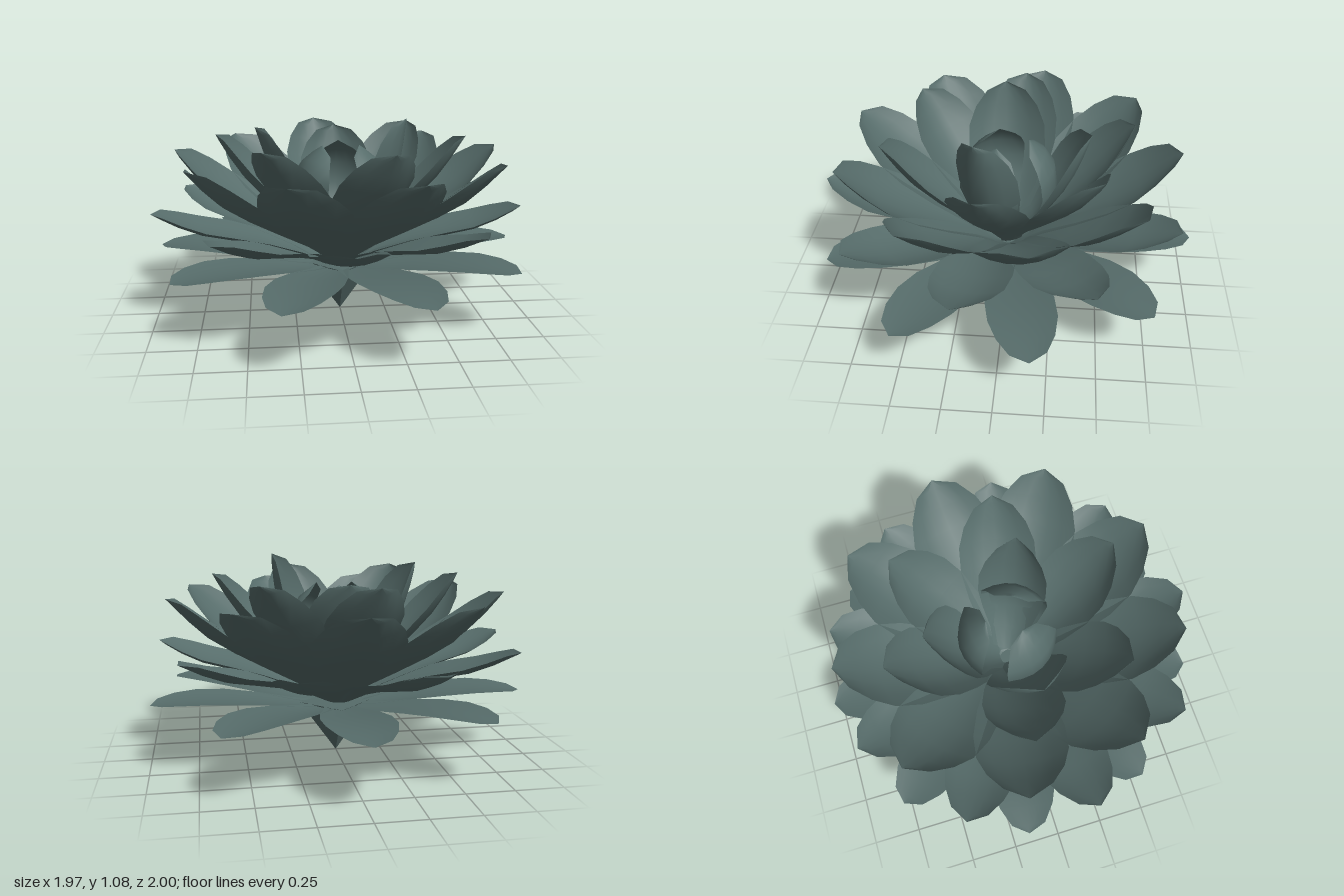
import * as THREE from 'three';

const COLOR = 0x566c6a;
const petalMaterial = new THREE.MeshStandardMaterial({ color: COLOR, side: THREE.DoubleSide });
const baseMaterial = new THREE.MeshStandardMaterial({ color: COLOR, flatShading: true });

// Petal outline: [position along the length, share of the half width]
const OUTLINE = [[0, 0.4], [0.18, 0.6], [0.38, 0.86], [0.56, 1], [0.72, 0.98], [0.85, 0.8], [0.95, 0.5], [1, 0]];
const COLUMNS = 6;

// A cupped petal that follows a (radius, height) profile outward along +x
function petalGeometry(profile, halfWidth, cup) {
  const spine = new THREE.CatmullRomCurve3(profile.map(([r, y]) => new THREE.Vector3(r, y, 0)));
  const positions = [], index = [];
  OUTLINE.forEach(([t, share], row) => {
    const p = spine.getPointAt(t), d = spine.getTangentAt(t);
    for (let c = 0; c <= COLUMNS; c++) {
      const s = (c / COLUMNS) * 2 - 1;
      const lift = cup * s * s * share; // rim rises along the petal's normal
      positions.push(p.x - d.y * lift, p.y + d.x * lift, s * share * halfWidth);
      if (row && c) {
        const b = row * (COLUMNS + 1) + c, a = b - COLUMNS - 1;
        index.push(a - 1, a, b - 1);
        if (row < OUTLINE.length - 1) index.push(a, b, b - 1);
      }
    }
  });
  const g = new THREE.BufferGeometry();
  g.setAttribute('position', new THREE.Float32BufferAttribute(positions, 3));
  g.setIndex(index);
  g.computeVertexNormals();
  return g;
}

const every = (count, start) => Array.from({ length: count }, (_, i) => start + (i * 360) / count);

// Whorls from the outside in; angles are in degrees from the back towards +x
const WHORLS = [
  { name: 'flatPetal', angles: every(9, 0), width: 0.175, cup: 0.02,
    profile: [[0.06, 0.265], [0.25, 0.285], [0.5, 0.325], [0.78, 0.35], [1, 0.345]] },
  { name: 'lowPetal', angles: every(9, 20), width: 0.19, cup: 0.05, shift: [-0.02, 0.02],
    profile: [[0.06, 0.275], [0.24, 0.36], [0.48, 0.435], [0.76, 0.505], [0.98, 0.615]] },
  { name: 'middlePetal', angles: every(9, 0), width: 0.235, cup: 0.07,
    profile: [[0.05, 0.285], [0.22, 0.4], [0.46, 0.53], [0.7, 0.68], [0.9, 0.885]] },
  { name: 'upperPetal', angles: [-9, 42, 100, 162, 219, 275], width: 0.205, cup: 0.08,
    profile: [[0.05, 0.3], [0.18, 0.44], [0.36, 0.6], [0.53, 0.78], [0.66, 0.98]] },
  { name: 'leftInnerPetal', angles: [114], width: 0.18, cup: 0.1,
    profile: [[0.04, 0.33], [0.18, 0.46], [0.28, 0.65], [0.33, 0.86], [0.36, 1.08]] },
  { name: 'rightInnerPetal', angles: [264], width: 0.21, cup: 0.1,
    profile: [[0.04, 0.33], [0.18, 0.46], [0.29, 0.63], [0.38, 0.82], [0.45, 1.03]] },
  { name: 'rearInnerPetal', angles: [0], width: 0.2, cup: 0.1,
    profile: [[0.04, 0.33], [0.17, 0.46], [0.28, 0.61], [0.37, 0.79], [0.43, 0.97]] },
  // Heart petals curl in over the centre
  { name: 'heartPetal', angles: [0, 118, 242], width: 0.18, cup: 0.07,
    profile: [[0.04, 0.34], [0.18, 0.48], [0.26, 0.65], [0.23, 0.82], [0.11, 0.93]] },
];

export function createModel() {
  const flower = new THREE.Group();
  flower.name = 'flower';

  // Pointed four-sided base
  const base = new THREE.Mesh(new THREE.CylinderGeometry(0.2, 0, 0.28, 4), baseMaterial);
  base.name = 'base';
  base.position.y = 0.14;
  flower.add(base);

  for (const { name, angles, width, cup, profile, shift = [0, 0] } of WHORLS) {
    const whorl = new THREE.Group();
    whorl.name = name + 'Whorl';
    whorl.position.set(shift[0], 0, shift[1]);
    const geometry = petalGeometry(profile, width, cup);
    for (const angle of angles) {
      const petal = new THREE.Mesh(geometry, petalMaterial);
      petal.name = name;
      petal.rotation.y = THREE.MathUtils.degToRad(90 - angle);
      whorl.add(petal);
    }
    flower.add(whorl);
  }
  return flower;
}
